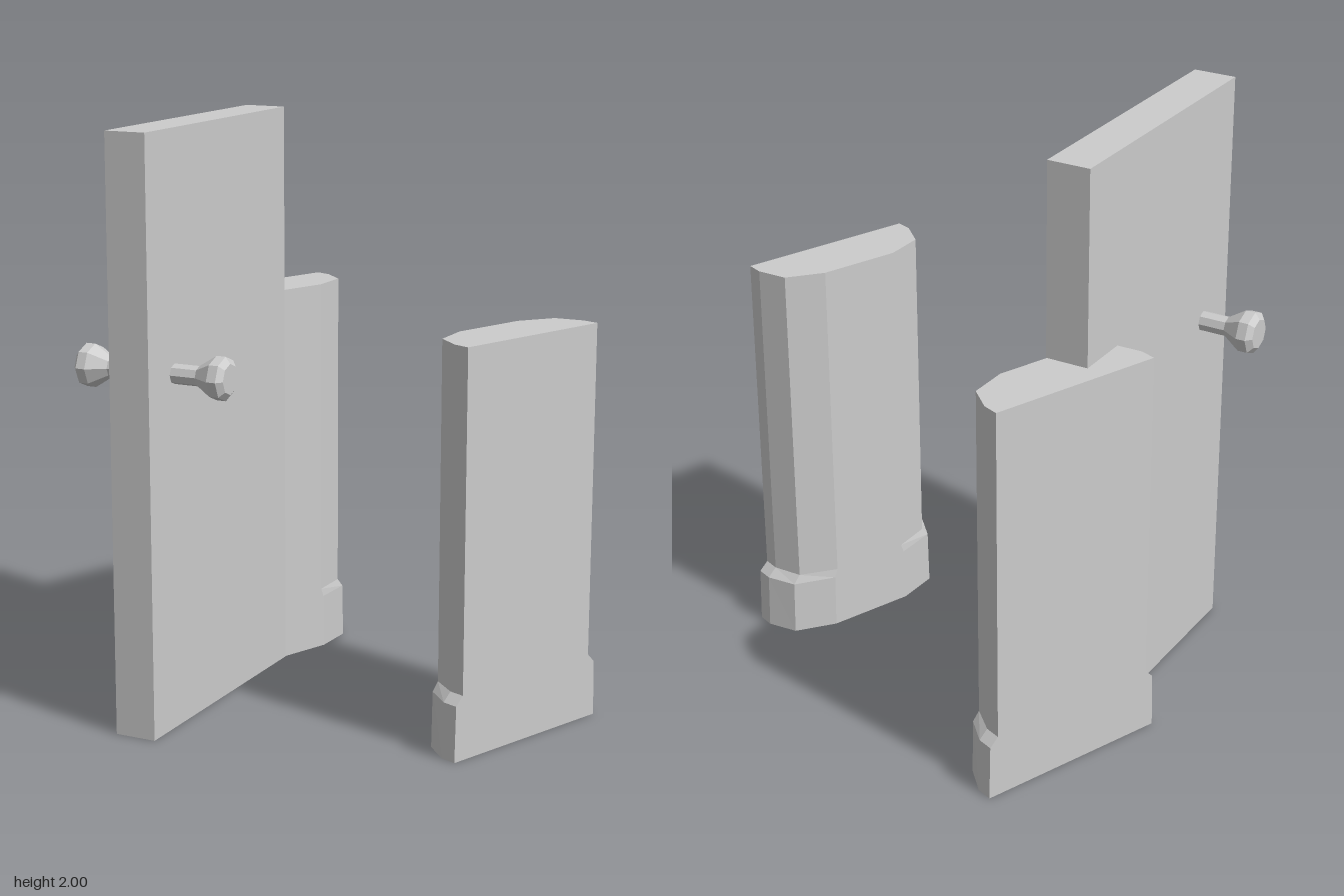
import * as THREE from 'three';

const material = new THREE.MeshStandardMaterial({ color: 0xcccccc, flatShading: true, side: THREE.DoubleSide });

// Loft of level cross-sections [y, [half depths]], flat outside and chamfered inside
function jambGeometry() {
  const xs = [0.676, 0.62, 0.525, 0.477];
  const levels = [
    [0, [0.337, 0.337, 0.291, 0.15]],
    [0.19, [0.332, 0.332, 0.287, 0.147]],
    [0.22, [0.302, 0.302, 0.263, 0.136]],
    [1.357, [0.302, 0.302, 0.263, 0.136]],
  ];
  const rings = levels.map(([y, half]) => {
    const front = xs.map((x, i) => [x, y, half[i]]);
    const back = xs.map((x, i) => [x, y, -half[i]]).reverse();
    return [...front, ...back];
  });
  const pos = [];
  const tri = (a, b, c) => pos.push(...a, ...b, ...c);
  const n = rings[0].length;
  // side faces
  for (let k = 0; k < rings.length - 1; k++) {
    for (let i = 0; i < n; i++) {
      const j = (i + 1) % n;
      tri(rings[k][i], rings[k + 1][i], rings[k + 1][j]);
      tri(rings[k][i], rings[k + 1][j], rings[k][j]);
    }
  }
  // bottom and top caps
  const top = rings[rings.length - 1];
  for (let i = 1; i < n - 1; i++) {
    tri(rings[0][0], rings[0][i], rings[0][i + 1]);
    tri(top[0], top[i + 1], top[i]);
  }
  const geo = new THREE.BufferGeometry();
  geo.setAttribute('position', new THREE.Float32BufferAttribute(pos, 3));
  geo.computeVertexNormals();
  return geo;
}

export function createModel() {
  const model = new THREE.Group();
  model.name = 'openDoor';
  const add = (parent, geo, name) => {
    const mesh = new THREE.Mesh(geo, material);
    mesh.name = name;
    parent.add(mesh);
    return mesh;
  };

  // Door jambs, one turned half round to face the other
  const jamb = jambGeometry();
  const left = add(model, jamb, 'leftJamb');
  const right = add(model, jamb, 'rightJamb');
  left.position.z = right.position.z = -0.32;
  right.rotation.y = Math.PI;

  // Door leaf, standing ajar
  const door = new THREE.Group();
  door.name = 'door';
  door.position.set(-0.368, 0, 0.191);
  door.rotation.y = 0.3747;
  model.add(door);
  add(door, new THREE.BoxGeometry(0.145, 2, 0.951), 'doorLeaf').position.y = 1;

  // Knobs with octagonal shafts on both faces
  const half = [[0.034, 0.165], [0.073, 0.227], [0.073, 0.26], [0.051, 0.277], [0, 0.277]];
  const profile = [
    ...half.map(([r, y]) => [r, -y]).reverse(),
    ...half,
  ].map(([r, y]) => new THREE.Vector2(r, y));
  const handle = add(door, new THREE.LatheGeometry(profile, 8), 'doorKnobs');
  handle.rotation.z = -Math.PI / 2;
  handle.position.set(0, 1.205, 0.307);

  return model;
}
